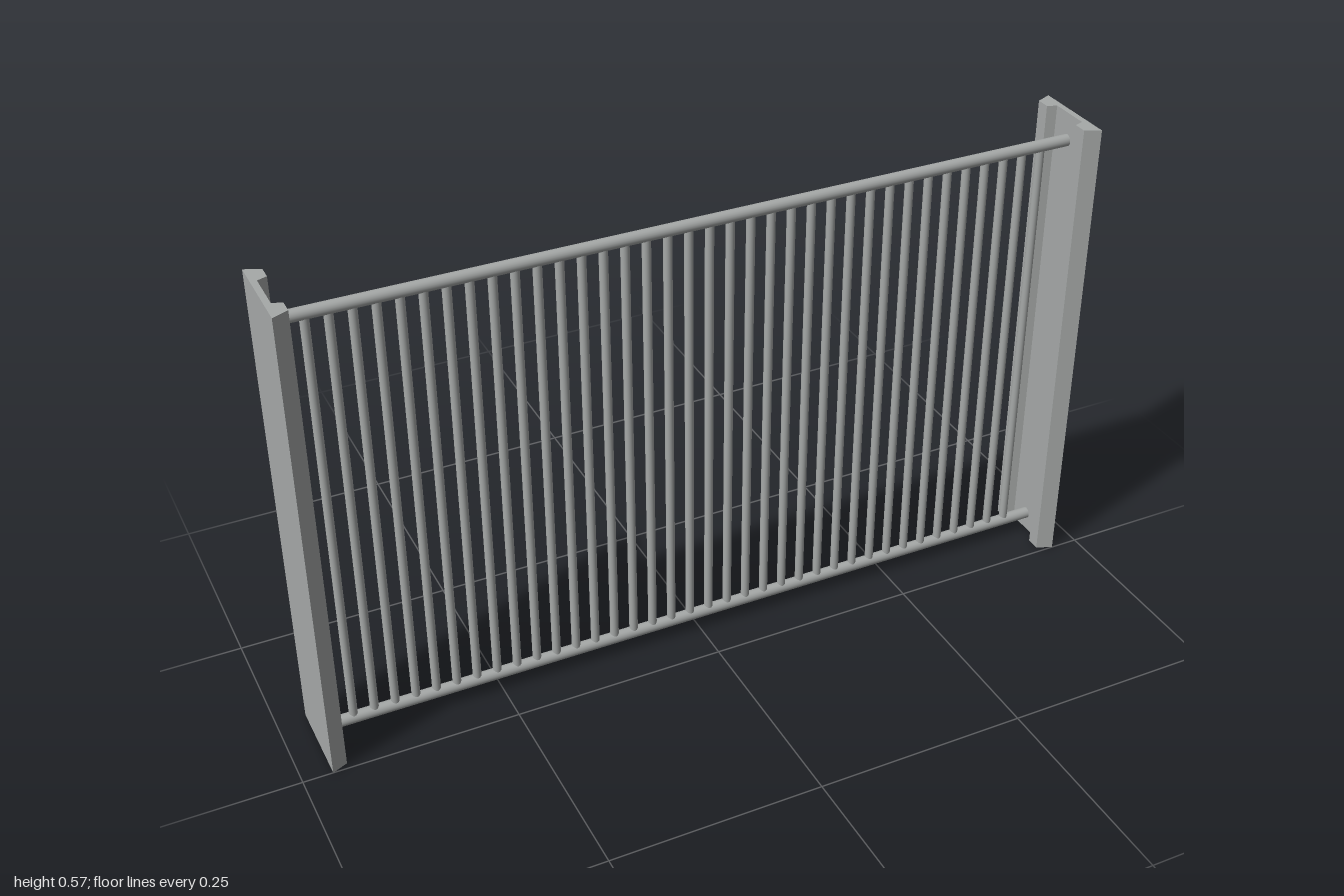
import * as THREE from 'three';

const Z = 0.948;        // plane of the fence panel
const HEIGHT = 0.57;
const OUTER = 0.466;    // outer face of the posts
const INNER = 0.448;    // tips of the post flanges
const WEB = 0.459;      // inner face of the post web

export function createModel() {
  const group = new THREE.Group();
  const steel = new THREE.MeshStandardMaterial({ color: 0xa6a9a8 });
  steel.name = 'galvanised steel';

  const add = (name, geometry, x, y, z) => {
    const mesh = new THREE.Mesh(geometry, steel);
    mesh.name = name;
    mesh.position.set(x, y, z);
    group.add(mesh);
    return mesh;
  };

  // Channel posts with tapered flanges, open towards the panel
  const channel = new THREE.Shape([
    [OUTER, -0.052], [OUTER, 0.052], [INNER, 0.044], [INNER, 0.028],
    [WEB, 0.024], [WEB, -0.024], [INNER, -0.028], [INNER, -0.044],
  ].map(([x, z]) => new THREE.Vector2(x, z)));
  const postGeometry = new THREE.ExtrudeGeometry(channel, { depth: HEIGHT, bevelEnabled: false });
  postGeometry.rotateX(-Math.PI / 2);
  add('leftPost', postGeometry, 0, 0, Z);
  add('rightPost', postGeometry, 0, 0, Z).rotation.y = Math.PI;

  // Round rails between the post webs
  const railGeometry = new THREE.CylinderGeometry(0.007, 0.007, WEB * 2, 20);
  railGeometry.rotateZ(Math.PI / 2);
  const railBottom = 0.0225, railTop = 0.538;
  add('bottomRail', railGeometry, 0, railBottom, Z);
  add('topRail', railGeometry, 0, railTop, Z);

  // Evenly spaced vertical bars
  const count = 36, span = 0.848;
  const barGeometry = new THREE.CylinderGeometry(0.005, 0.005, railTop - railBottom, 16, 1, true);
  for (let i = 0; i < count; i++) {
    add('bar', barGeometry, -span / 2 + (span * i) / (count - 1), (railBottom + railTop) / 2, Z);
  }
  return group;
}
